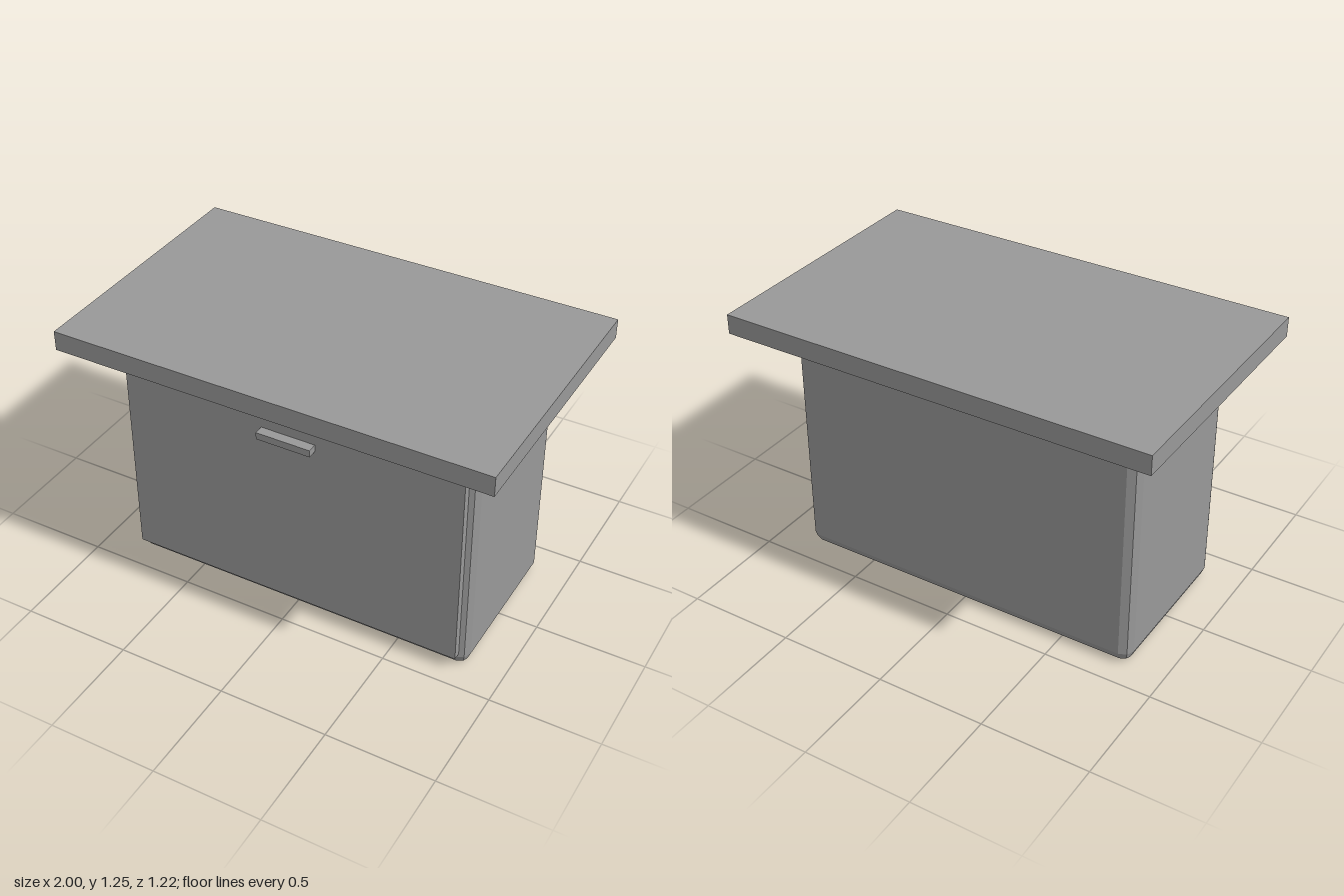
import * as THREE from 'three';
import { RoundedBoxGeometry } from 'three/addons/geometries/RoundedBoxGeometry.js';

export function createModel() {
  const model = new THREE.Group();
  model.name = 'cabinet';
  const grey = new THREE.MeshStandardMaterial({ color: 0x999999, flatShading: true });
  grey.name = 'grey';

  const add = (name, geometry, y, z) => {
    const mesh = new THREE.Mesh(geometry, grey);
    mesh.name = name;
    mesh.position.set(0, y, z);
    model.add(mesh);
  };

  // Plain block given by its width and its y and z ranges
  const block = (name, width, y0, y1, z0, z1) =>
    add(name, new THREE.BoxGeometry(width, y1 - y0, z1 - z0), (y0 + y1) / 2, (z0 + z1) / 2);

  // Body with two-facet bevelled edges
  add('body', new RoundedBoxGeometry(1.674, 1.1, 0.772, 1, 0.05), 0.55, 0);

  // Stepped top
  block('topSupport', 1.73, 1.1, 1.163, -0.42, 0.42);
  block('topSlab', 2, 1.163, 1.253, -0.612, 0.612);

  // Front door and handle
  block('door', 1.6, 0.068, 1.035, 0.38, 0.417);
  block('handle', 0.254, 0.919, 0.952, 0.417, 0.461);

  return model;
}
